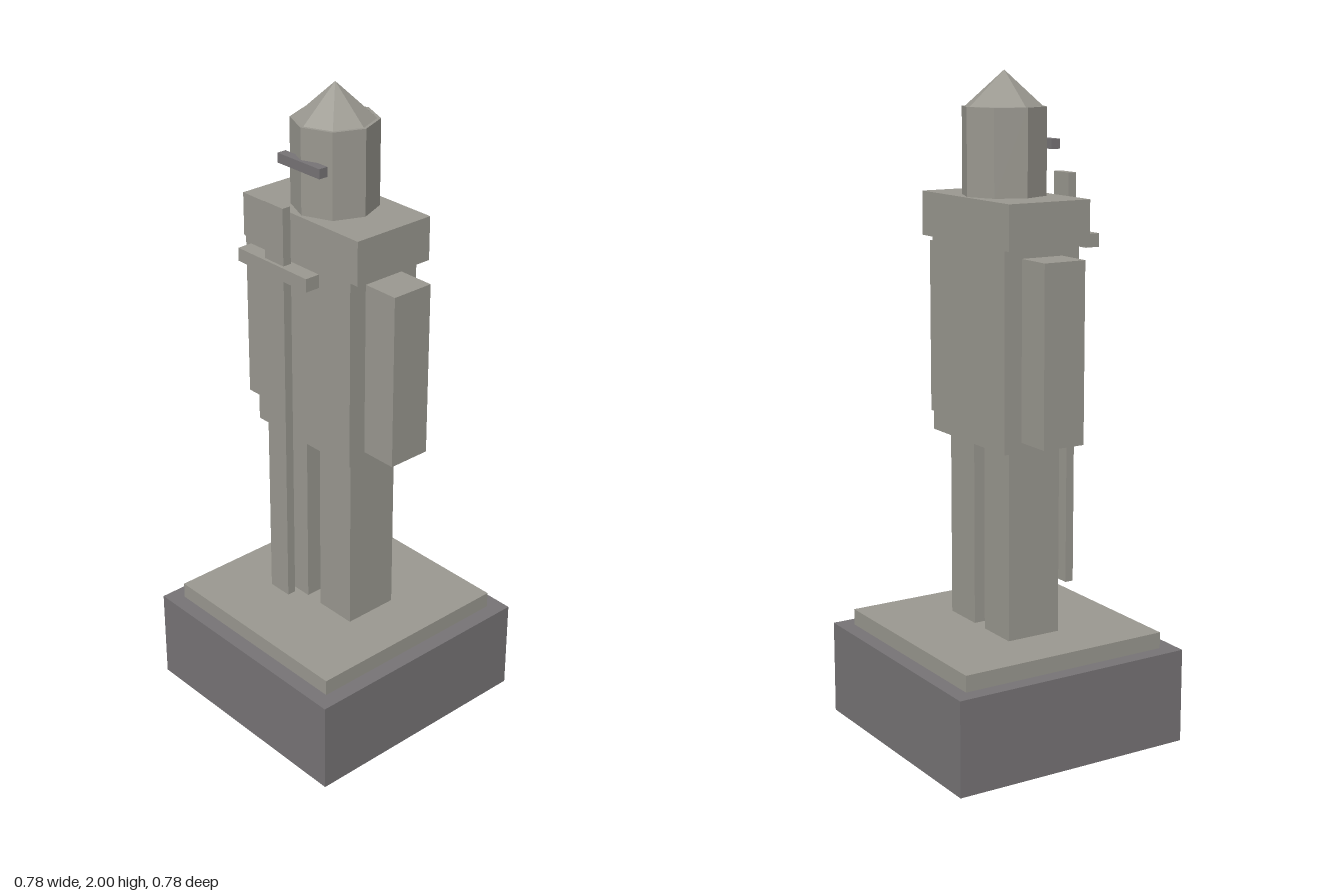
import * as THREE from 'three';

export function createModel() {
  const group = new THREE.Group();
  group.name = 'knightStatue';

  const stone = new THREE.MeshStandardMaterial({ color: 0x9a9890, flatShading: true });
  stone.name = 'paleStone';
  const dark = new THREE.MeshStandardMaterial({ color: 0x777476, flatShading: true });
  dark.name = 'darkStone';

  const add = (name, geometry, material, x, y, z) => {
    const mesh = new THREE.Mesh(geometry, material);
    mesh.name = name;
    mesh.position.set(x, y, z);
    group.add(mesh);
  };
  // Box given by its width, depth, bottom and top
  const block = (name, material, width, depth, y0, y1, x = 0, z = 0) =>
    add(name, new THREE.BoxGeometry(width, y1 - y0, depth), material, x, (y0 + y1) / 2, z);

  // Pedestal
  block('pedestal', dark, 0.776, 0.776, 0, 0.29);
  block('pedestalTop', stone, 0.68, 0.68, 0.29, 0.34);

  // Body
  for (const [side, s] of [['left', 1], ['right', -1]]) {
    block(side + 'Leg', stone, 0.136, 0.175, 0.34, 0.92, s * 0.097);
    block(side + 'Arm', stone, 0.117, 0.136, 0.95, 1.482, s * 0.2605);
  }
  block('torso', stone, 0.405, 0.252, 0.92, 1.51);
  block('shoulders', stone, 0.485, 0.272, 1.51, 1.642);

  // Eight-sided helmet with a pointed crown
  add('helmet', new THREE.CylinderGeometry(0.126, 0.126, 0.255, 8), stone, 0, 1.7695, 0);
  add('helmetPoint', new THREE.ConeGeometry(0.116, 0.103, 8), stone, 0, 1.9485, 0);
  block('visorSlit', dark, 0.174, 0.029, 1.775, 1.804, 0, 0.121);

  // Sword held point down in front of the body
  block('swordBlade', stone, 0.078, 0.027, 0.44, 1.70, 0, 0.213);
  block('swordGuard', stone, 0.29, 0.047, 1.49, 1.53, 0, 0.213);

  return group;
}
